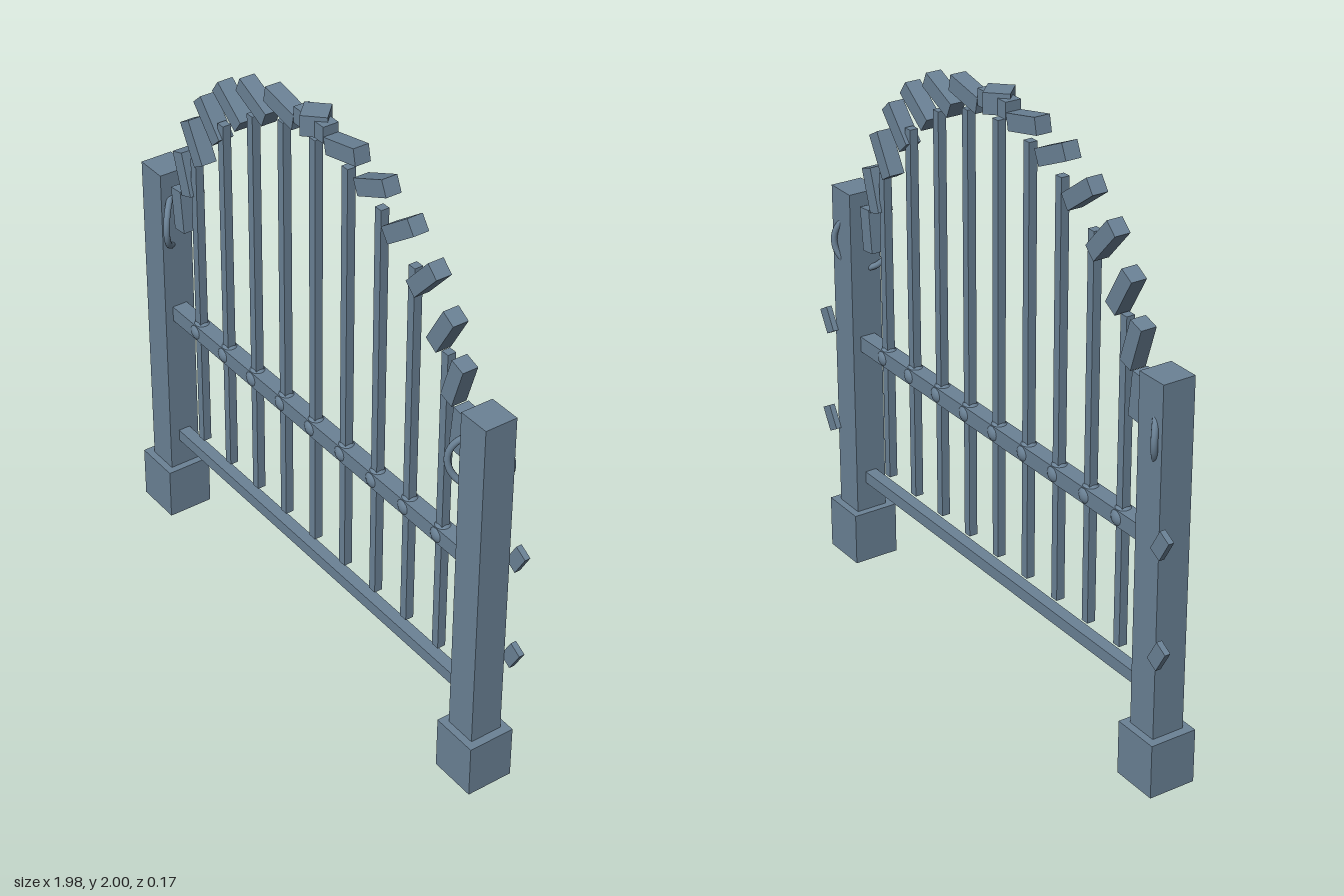
import * as THREE from 'three';

const material = new THREE.MeshStandardMaterial({ color: 0x6b8296 });

function add(parent, name, geometry, x, y, z) {
  const mesh = new THREE.Mesh(geometry, material);
  mesh.name = name;
  mesh.position.set(x, y, z);
  parent.add(mesh);
  return mesh;
}

const box = (w, h, d) => new THREE.BoxGeometry(w, h, d);

export function createModel() {
  const gate = new THREE.Group();
  gate.name = 'gate';

  // Posts with plinths, ring handles and hinge plates, mirrored left and right
  for (const side of [-1, 1]) {
    const label = side > 0 ? 'left' : 'right';
    add(gate, label + 'Plinth', box(0.17, 0.19, 0.166), side * 0.865, 0.095, 0);
    add(gate, label + 'Post', box(0.115, 1.205, 0.115), side * 0.863, 0.7925, 0);

    const ring = add(gate, label + 'Ring', new THREE.TorusGeometry(0.096, 0.011, 12, 40), side * 0.83, 1.205, 0);
    ring.rotation.y = side * Math.PI / 4;

    for (const y of [0.508, 0.887]) {
      const hinge = add(gate, label + 'Hinge', box(0.088, 0.05, 0.02), side * 0.948, y, -0.067);
      hinge.rotation.z = side * Math.PI / 3;
    }
  }

  // Horizontal rails
  add(gate, 'lowerRail', box(1.63, 0.043, 0.043), 0, 0.318, 0);
  add(gate, 'middleRail', box(1.63, 0.056, 0.056), 0, 0.838, 0);

  // Vertical bars stepping down from the centre, each with a ball on the middle rail
  const tops = [1.905, 1.887, 1.83, 1.717, 1.507];
  const bottom = 0.383;
  for (let i = -4; i <= 4; i++) {
    const height = tops[Math.abs(i)] - bottom;
    add(gate, 'bar', box(0.03, height, 0.03), i * 0.167, bottom + height / 2, 0);
    add(gate, 'ball', new THREE.SphereGeometry(0.038, 20, 14), i * 0.167, 0.838, 0);
  }

  // Arch of separate blocks, each tilted against the curve
  for (let i = -7; i <= 7; i++) {
    const angle = THREE.MathUtils.degToRad(i * 12);
    const block = add(gate, 'archBlock', box(0.153, 0.056, 0.056),
      0.757 * Math.sin(angle), 1.2 + 0.757 * Math.cos(angle), 0);
    block.rotation.z = angle;
  }

  // Keystone turned on its corner
  const keystone = add(gate, 'keystone', box(0.085, 0.07, 0.085), 0, 1.965, 0);
  keystone.rotation.y = Math.PI / 4;

  return gate;
}
